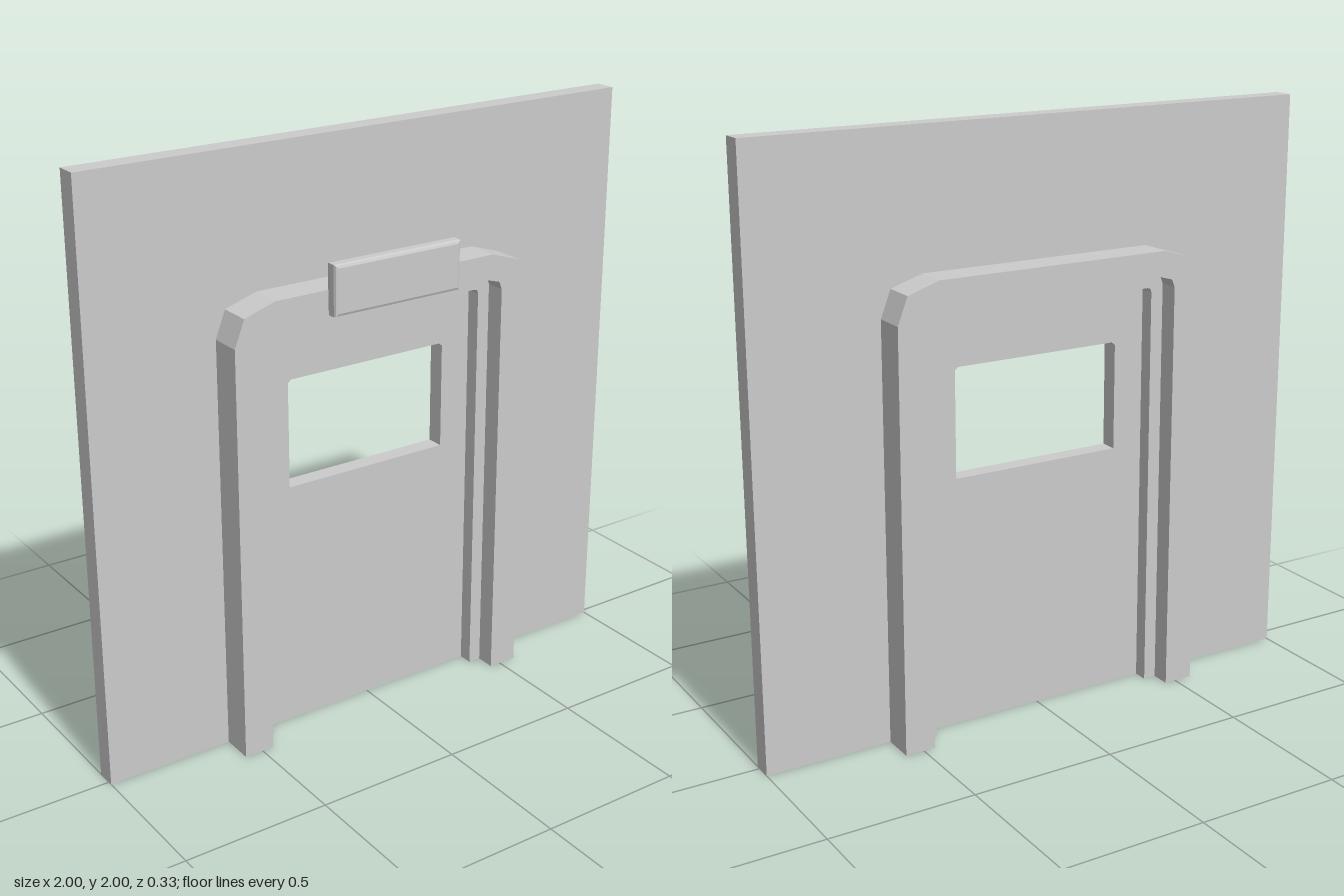
import * as THREE from 'three';

const MID_Z = -0.02; // shared centre plane of wall, frame and door

const material = new THREE.MeshStandardMaterial({
  color: 0xcccccc, flatShading: true, side: THREE.DoubleSide,
});

function polygon(points, Type = THREE.Shape) {
  return new Type(points.map(([x, y]) => new THREE.Vector2(x, y)));
}

function addMesh(group, name, geometry) {
  const mesh = new THREE.Mesh(geometry, material);
  mesh.name = name;
  group.add(mesh);
  return mesh;
}

// Flat slab centred on the shared plane
function slab(shape, depth) {
  return new THREE.ExtrudeGeometry(shape, { depth, bevelEnabled: false })
    .translate(0, 0, MID_Z - depth / 2);
}

// Rails of the door surround: right half from floor to top, mirrored to the left
const mirrorRail = (rail) => [...rail, ...rail.map(([x, y]) => [-x, y]).reverse()];
const outerRail = mirrorRail([[0.564, 0], [0.56, 1.42], [0.525, 1.51], [0.415, 1.545]]);
const innerRail = mirrorRail([[0.46, 0], [0.456, 1.42], [0.445, 1.447], [0.4, 1.46]]);
const lipRail = mirrorRail([[0.415, 0], [0.411, 1.395], [0.407, 1.407], [0.395, 1.411]]);

// Stepped section swept along the rails, open at the floor
function surroundGeometry() {
  const section = [
    [outerRail, -0.147], [outerRail, 0.147], [innerRail, 0.147], [innerRail, 0.08],
    [lipRail, 0.08], [lipRail, -0.08], [innerRail, -0.08], [innerRail, -0.147],
  ];
  const positions = [];
  const index = [];
  const n = section.length;
  outerRail.forEach((_, i) => {
    section.forEach(([rail, z], j) => {
      positions.push(rail[i][0], rail[i][1], MID_Z + z);
      if (i === 0) return;
      const k = (j + 1) % n;
      const a = (i - 1) * n + j, b = (i - 1) * n + k;
      const c = i * n + k, d = i * n + j;
      index.push(a, c, b, a, d, c);
    });
  });
  const geometry = new THREE.BufferGeometry();
  geometry.setAttribute('position', new THREE.Float32BufferAttribute(positions, 3));
  geometry.setIndex(index);
  const flat = geometry.toNonIndexed();
  flat.computeVertexNormals();
  return flat;
}

export function createModel() {
  const group = new THREE.Group();
  group.name = 'doorwayWall';

  // Wall with a doorway notch hidden behind the surround
  const wall = polygon([
    [-1, 0], [-0.51, 0], [-0.51, 1.42], [-0.44, 1.5], [0.44, 1.5],
    [0.51, 1.42], [0.51, 0], [1, 0], [1, 2], [-1, 2],
  ]);
  addMesh(group, 'wall', slab(wall, 0.071));

  // Stepped door surround
  addMesh(group, 'doorFrame', surroundGeometry());

  // Door panel with a window opening, top corners clipped
  const door = polygon([[-0.43, 0], [0.43, 0], [0.43, 1.43], [-0.43, 1.43]]);
  door.holes.push(polygon([
    [-0.303, 0.86], [-0.303, 1.22], [-0.29, 1.23],
    [0.29, 1.23], [0.303, 1.22], [0.303, 0.86],
  ], THREE.Path));
  addMesh(group, 'doorPanel', slab(door, 0.06));

  // Chamfered plate over the door
  const bevel = 0.011;
  const w = 0.478 / 2 - bevel, h = 0.167 / 2 - bevel;
  const plate = new THREE.ExtrudeGeometry(
    polygon([[-w, -h], [w, -h], [w, h], [-w, h]]),
    { depth: 0.049 - 2 * bevel, bevelThickness: bevel, bevelSize: bevel, bevelSegments: 2 },
  );
  addMesh(group, 'signPlate', plate).position.set(0.014, 1.548, 0.118 + bevel);

  return group;
}
